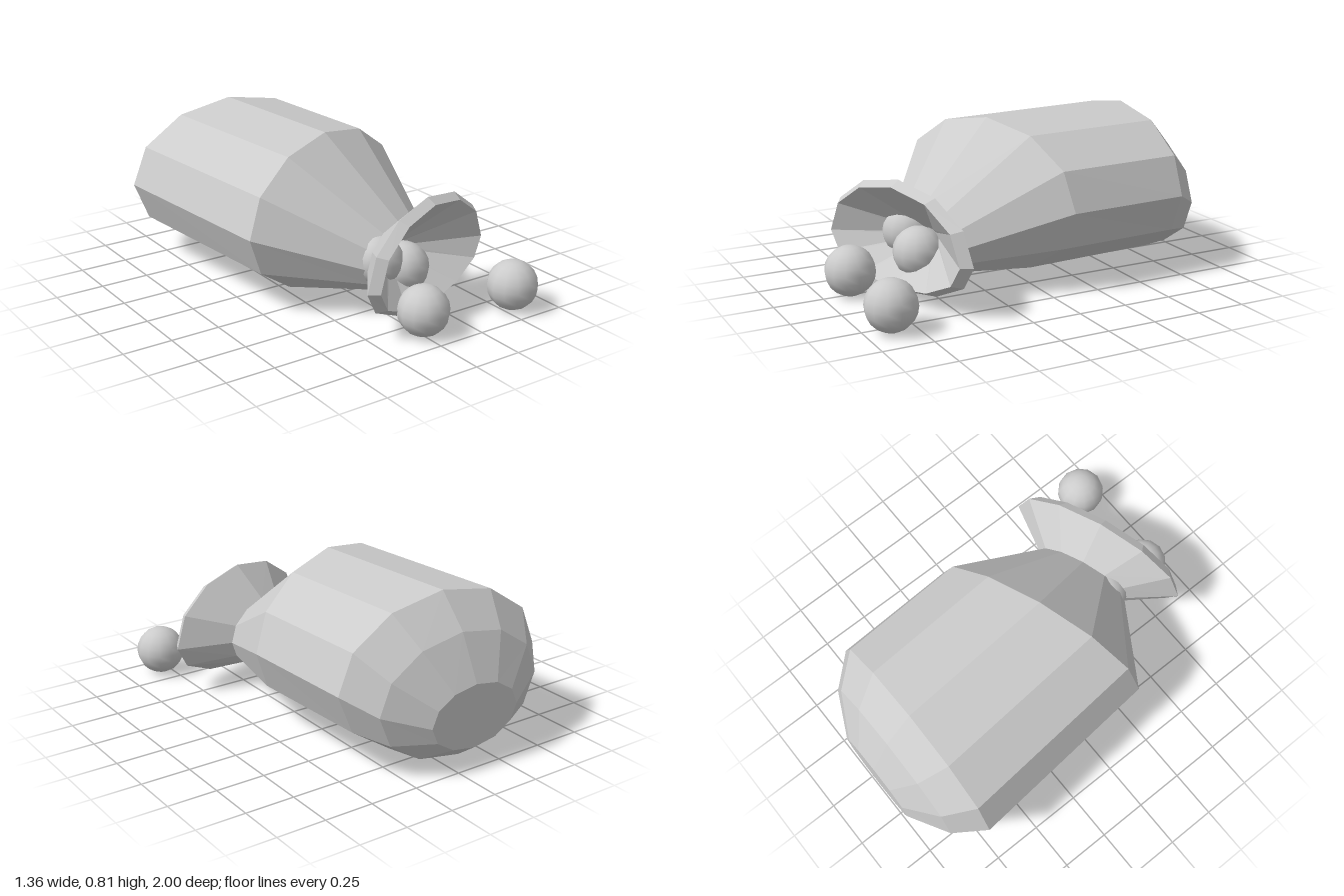
import * as THREE from 'three';

const SIDES = 12;
const flat = new THREE.MeshStandardMaterial({ color: 0xcccccc, flatShading: true });
const smooth = new THREE.MeshStandardMaterial({ color: 0xcccccc });

// Elliptical cross-section; slope shears z along x so the opening turns sideways.
function ring(cx, cy, cz, width, up, down = up, slope = 0) {
  return Array.from({ length: SIDES }, (_, i) => {
    const t = (i / SIDES) * Math.PI * 2;
    const dx = width * Math.cos(t), s = Math.sin(t);
    return [cx + dx, cy + s * (s > 0 ? up : down), cz + dx * slope];
  });
}

// Skin of faceted quads through consecutive rings (zero-size rings close the ends).
function loft(name, rings) {
  const pos = [];
  const tri = (a, b, c) => {
    const same = (p, q) => p.every((v, k) => Math.abs(v - q[k]) < 1e-6);
    if (!same(a, b) && !same(b, c) && !same(a, c)) pos.push(...a, ...b, ...c);
  };
  for (let r = 0; r < rings.length - 1; r++) {
    const A = rings[r], B = rings[r + 1];
    for (let i = 0; i < SIDES; i++) {
      const j = (i + 1) % SIDES;
      tri(A[i], A[j], B[j]);
      tri(A[i], B[j], B[i]);
    }
  }
  const geo = new THREE.BufferGeometry();
  geo.setAttribute('position', new THREE.Float32BufferAttribute(pos, 3));
  geo.computeVertexNormals();
  const mesh = new THREE.Mesh(geo, flat);
  mesh.name = name;
  return mesh;
}

export function createModel() {
  const model = new THREE.Group();
  model.name = 'sackWithBalls';

  const neck = ring(0.115, 0.27, 0.51, 0.245, 0.17, 0.17, -0.367);
  const lip = ring(0.17, 0.27, 0.665, 0.47, 0.33, 0.225, -0.351);
  const rim = ring(0.183, 0.27, 0.71, 0.43, 0.3, 0.2, -0.351);

  // Sack lying on its side: closed rear end, body, shoulder, neck
  model.add(loft('sackBody', [
    ring(-0.09, 0.27, -1, 0, 0),
    ring(-0.09, 0.27, -1, 0.255, 0.16),
    ring(-0.09, 0.34, -0.89, 0.47, 0.31),
    ring(-0.09, 0.42, -0.74, 0.59, 0.39),
    ring(-0.03, 0.42, 0.095, 0.56, 0.39, 0.39, -0.348),
    neck,
  ]));

  // Flared mouth with a bevelled rim
  model.add(loft('mouthFlare', [neck, lip, rim]));

  // Funnel-shaped inside of the mouth
  model.add(loft('mouthInside', [
    rim,
    ring(0.105, 0.29, 0.48, 0.05, 0.03, 0.03, -0.35),
    ring(0.105, 0.29, 0.48, 0, 0),
  ]));

  // Balls in the mouth and rolled out in front
  const ballGeo = new THREE.SphereGeometry(0.127, 12, 10);
  const balls = [
    [0.005, 0.13, 0.86],
    [0.55, 0.13, 0.872],
    [0.125, 0.215, 0.55],
    [-0.03, 0.285, 0.54],
  ];
  balls.forEach((p, i) => {
    const ball = new THREE.Mesh(ballGeo, smooth);
    ball.position.set(...p);
    ball.name = `ball${i + 1}`;
    model.add(ball);
  });

  return model;
}
